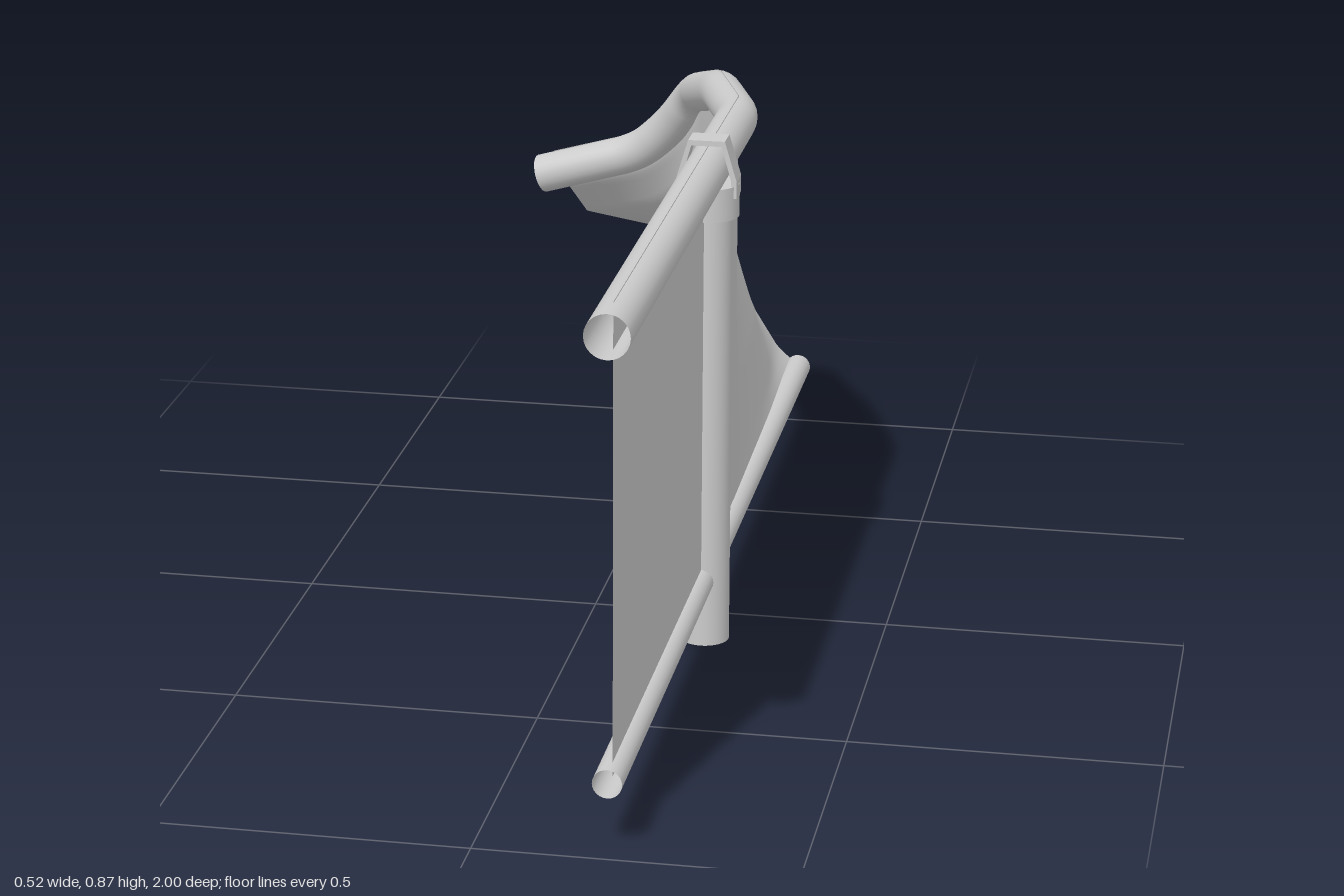
import * as THREE from 'three';

const V = (x, y, z) => new THREE.Vector3(x, y, z);
const X = 0.207, POST_Z = 0.11;

// Polyline whose corners are rounded by cutting them back by the given length
function bentPath(points, cut) {
  const path = new THREE.CurvePath();
  let from = points[0];
  for (let i = 1; i < points.length - 1; i++) {
    const p = points[i];
    const toward = (q) => p.clone().add(q.clone().sub(p).setLength(cut));
    const a = toward(points[i - 1]), b = toward(points[i + 1]);
    path.add(new THREE.LineCurve3(from, a));
    path.add(new THREE.QuadraticBezierCurve3(a, p, b));
    from = b;
  }
  path.add(new THREE.LineCurve3(from, points[points.length - 1]));
  return path;
}

export function createModel() {
  const group = new THREE.Group();
  const solid = new THREE.MeshStandardMaterial({ color: 0xcccccc });
  const thin = new THREE.MeshStandardMaterial({ color: 0xcccccc, side: THREE.DoubleSide });
  const add = (name, geometry, material = solid) => {
    const mesh = new THREE.Mesh(geometry, material);
    mesh.name = name;
    group.add(mesh);
    return mesh;
  };

  // Upright post with its collar
  add('post', new THREE.CylinderGeometry(0.041, 0.041, 0.79, 32)).position.set(X, 0.395, POST_Z);
  add('collar', new THREE.CylinderGeometry(0.051, 0.051, 0.055, 32)).position.set(X, 0.7675, POST_Z);

  // Angular strap holding the top rail on the post
  const outline = (w, t, top) => [[-w, 0.775], [-w, 0.803], [-t, top], [t, top], [w, 0.803], [w, 0.775]]
    .map(([x, y]) => new THREE.Vector2(x, y));
  const strap = new THREE.Shape([...outline(0.05, 0.03, 0.87), ...outline(0.041, 0.025, 0.861).reverse()]);
  const strapGeometry = new THREE.ExtrudeGeometry(strap, { depth: 0.046, bevelEnabled: false });
  add('railStrap', strapGeometry).position.set(X, 0, POST_Z - 0.023);

  // Hollow bottom rail
  const bottomRail = add('bottomRail', new THREE.CylinderGeometry(0.023, 0.023, 1.965, 24, 1, true), thin);
  bottomRail.rotation.x = Math.PI / 2;
  bottomRail.position.set(X - 0.003, 0.113, -0.0025);

  // Hollow top rail: straight, then bent sideways and down
  const bend = [V(X, 0.82, -0.2), V(0.143, 0.81, -0.4), V(0.055, 0.727, -0.68),
    V(0.002, 0.65, -0.73), V(-0.062, 0.588, -0.758)];
  const railPath = bentPath([V(X, 0.82, 1), ...bend, V(-0.25, 0.528, -0.785)], 0.04);
  add('topRail', new THREE.TubeGeometry(railPath, 160, 0.035, 24, false), thin);

  // Flat half of the sheet
  const flat = new THREE.PlaneGeometry(1.15, 0.744).rotateY(Math.PI / 2);
  add('flatSheet', flat, thin).position.set(X, 0.485, 0.375);

  // Twisted half of the sheet, stretched between rails and the ragged end
  const lift = V(0, 0.037, 0);
  const top = bentPath([...bend, V(-0.228, 0.536, -0.783)].map((p) => p.clone().add(lift)), 0.04);
  const bottomStart = V(X, 0.113, -0.2), bottomEnd = V(X, 0.113, -0.985);
  const endPoints = [bottomEnd, V(0.165, 0.15, -0.985), V(0.09, 0.27, -0.985), V(-0.03, 0.365, -1),
    V(-0.185, 0.43, -0.885), V(-0.205, 0.5, -0.81), top.getPoint(1)];
  const end = new THREE.CurvePath();
  for (let i = 1; i < endPoints.length; i++) end.add(new THREE.LineCurve3(endPoints[i - 1], endPoints[i]));

  const twisted = new THREE.PlaneGeometry(1, 1, 64, 48);
  const pos = twisted.attributes.position;
  for (let i = 0; i < pos.count; i++) {
    const u = THREE.MathUtils.clamp(pos.getX(i) + 0.5, 0, 1);
    const v = THREE.MathUtils.clamp(pos.getY(i) + 0.5, 0, 1);
    const p = bottomStart.clone().lerp(bottomEnd, u).lerp(top.getPoint(u), v);
    const straight = bottomEnd.clone().lerp(endPoints[endPoints.length - 1], v);
    p.addScaledVector(end.getPoint(v).sub(straight), u);
    pos.setXYZ(i, p.x, p.y, p.z);
  }
  twisted.computeVertexNormals();
  add('twistedSheet', twisted, thin);

  return group;
}
